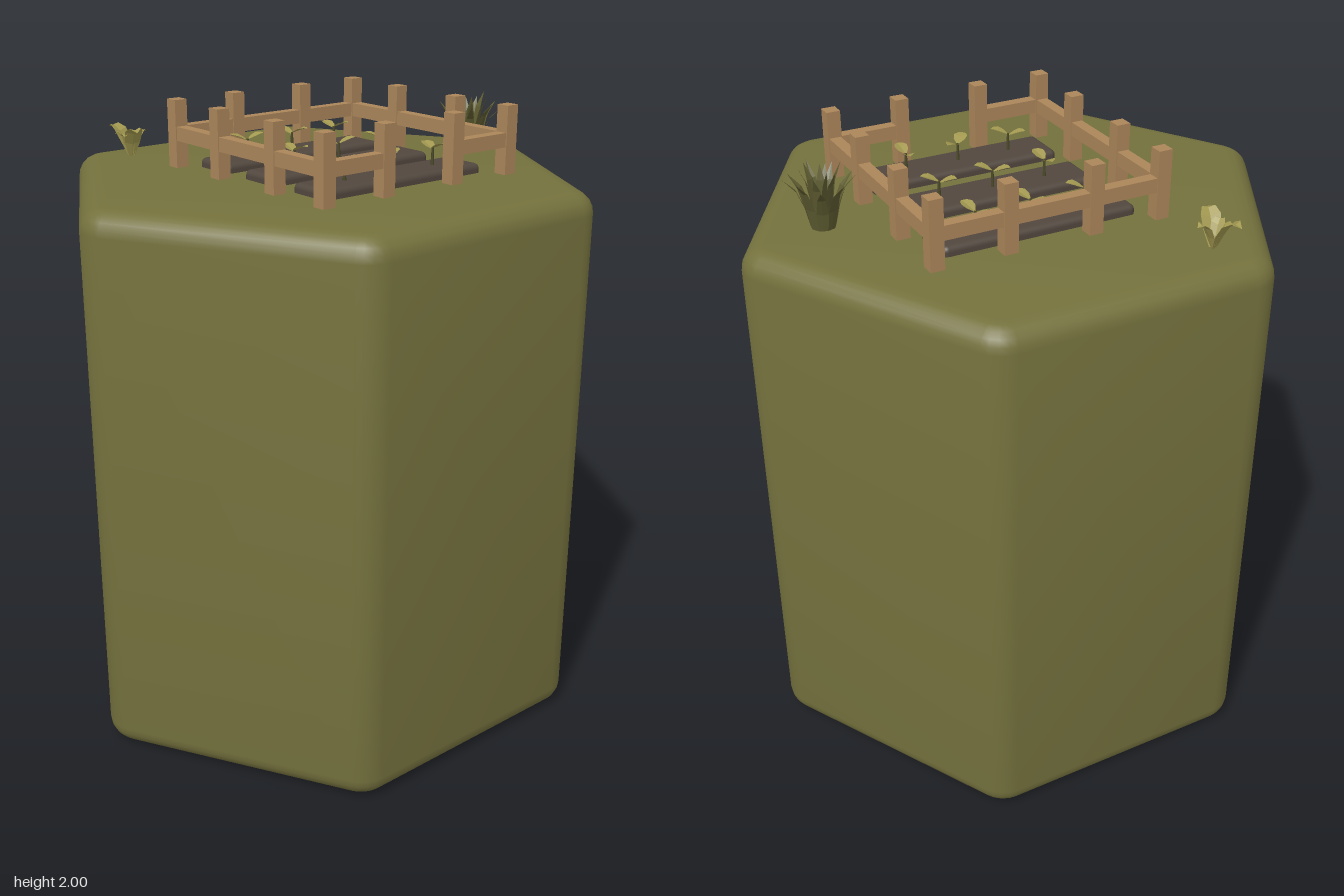
import * as THREE from 'three';
import { toCreasedNormals } from 'three/addons/utils/BufferGeometryUtils.js';
import { RoundedBoxGeometry } from 'three/addons/geometries/RoundedBoxGeometry.js';

const TOP = 1.783;

const material = (name, color, extra = {}) => {
  const m = new THREE.MeshStandardMaterial({ color, ...extra });
  m.name = name;
  return m;
};

// Folded leaf growing along +x; each section is [out, up, half width]
function leafGeometry(sections, fold) {
  const pos = [], index = [];
  sections.forEach(([out, up, w], i) => {
    pos.push(out, up + w * fold, -w, out, up, 0, out, up + w * fold, w);
    if (i === 0) return;
    const b = i * 3, a = b - 3;
    for (let k = 0; k < 2; k++) index.push(a + k, a + k + 1, b + k, a + k + 1, b + k + 1, b + k);
  });
  const g = new THREE.BufferGeometry();
  g.setAttribute('position', new THREE.Float32BufferAttribute(pos, 3));
  g.setIndex(index);
  const flat = g.toNonIndexed();
  flat.computeVertexNormals();
  return flat;
}

// Hexagonal block with rounded corners and rounded rims
function blockGeometry() {
  const bevel = 0.07, r = 0.04, apothem = 0.77 - bevel;
  const d = (apothem - r) / Math.cos(Math.PI / 6), pts = [];
  for (let k = 0; k < 6; k++) {
    const c = Math.PI / 2 + k * Math.PI / 3;
    for (let s = -2; s <= 2; s++) {
      const a = c + s * Math.PI / 12;
      pts.push(new THREE.Vector2(d * Math.cos(c) + r * Math.cos(a), d * Math.sin(c) + r * Math.sin(a)));
    }
  }
  const g = new THREE.ExtrudeGeometry(new THREE.Shape(pts), {
    depth: TOP - 2 * bevel, bevelThickness: bevel, bevelSize: bevel, bevelSegments: 5,
  });
  g.rotateX(-Math.PI / 2).translate(0, bevel, 0);
  return toCreasedNormals(g, 0.6);
}

export function createModel() {
  const grass = material('grass green', 0x74713d);
  const wood = material('fence wood', 0xab855a);
  const soil = material('soil brown', 0x51473e);
  const stemGreen = material('stem green', 0x4b4a28);
  const leafYellow = material('leaf yellow green', 0xa29850, { side: THREE.DoubleSide });
  const bladeGreen = material('blade green', 0x5e5c31, { side: THREE.DoubleSide });

  const model = new THREE.Group();
  model.name = 'gardenTile';
  const group = (name) => {
    const g = new THREE.Group();
    g.name = name;
    model.add(g);
    return g;
  };
  const add = (parent, name, geometry, mat, x = 0, y = 0, z = 0, turn = 0) => {
    const m = new THREE.Mesh(geometry, mat);
    m.name = name;
    m.position.set(x, y, z);
    m.rotation.y = turn;
    parent.add(m);
    return m;
  };

  add(model, 'groundBlock', blockGeometry(), grass);

  // Fence: twelve posts and one rail on each side, open at the gate on +x
  const fence = group('fence');
  const xs = [-0.348, -0.115, 0.165, 0.397], zs = [-0.427, -0.195, 0.085, 0.313];
  const post = new THREE.BoxGeometry(0.045, 0.23, 0.045);
  xs.forEach((x, i) => zs.forEach((z, j) => {
    if (i % 3 === 0 || j % 3 === 0) add(fence, 'fencePost', post, wood, x, 1.885, z);
  }));
  const rail = (x0, z0, x1, z1) => add(fence, 'fenceRail',
    new THREE.BoxGeometry(x1 - x0 + 0.038, 0.045, z1 - z0 + 0.038), wood, (x0 + x1) / 2, 1.893, (z0 + z1) / 2);
  rail(xs[0], zs[0], xs[3], zs[0]);
  rail(xs[0], zs[3], xs[3], zs[3]);
  rail(xs[0], zs[0], xs[0], zs[3]);
  rail(xs[3], zs[0], xs[3], zs[1]);
  rail(xs[3], zs[2], xs[3], zs[3]);

  // Soil beds, each with three two-leaved sprouts
  const garden = group('garden');
  const bed = new RoundedBoxGeometry(0.158, 0.07, 0.64, 3, 0.018);
  const stem = new THREE.CylinderGeometry(0.004, 0.006, 0.06, 6);
  const sproutLeaf = leafGeometry(
    [[0, 0, 0.003], [0.015, 0.006, 0.018], [0.032, 0.013, 0.022], [0.046, 0.017, 0.014], [0.056, 0.018, 0.001]], 0.25);
  const turns = [[20, 30, 70], [65, 65, 10], [5, -45, 65]];
  [-0.225, 0.018, 0.262].forEach((x, i) => {
    add(garden, 'soilBed', bed, soil, x, 1.778, -0.057);
    [-0.238, -0.057, 0.125].forEach((z, j) => {
      const a = THREE.MathUtils.degToRad(turns[i][j]);
      add(garden, 'sproutStem', stem, stemGreen, x, 1.838, z);
      add(garden, 'sproutLeaf', sproutLeaf, leafYellow, x, 1.866, z, a);
      add(garden, 'sproutLeaf', sproutLeaf, leafYellow, x, 1.862, z, a + Math.PI * 0.92);
    });
  });

  // Spiky tuft: rings of narrow blades, the outer ones leaning further
  const tuft = group('spikyTuft');
  tuft.position.set(0.055, TOP - 0.005, -0.6);
  [[9, 0.11, 0.175, 0.035], [6, 0.065, 0.2, 0.02], [3, 0.025, 0.19, 0.005]].forEach(([n, reach, h, base], ring) => {
    for (let k = 0; k < n; k++) {
      const s = 1 - 0.12 * ((k * 2 + ring) % 3) / 2, e = reach - base;
      const blade = leafGeometry([[base, 0, 0.014], [base + e * 0.2, h * s * 0.4, 0.018],
        [base + e * 0.5, h * s * 0.75, 0.012], [reach, h * s, 0.0005]], 0.2);
      add(tuft, 'tuftBlade', blade, bladeGreen, 0, 0, 0, (k + ring * 0.4) * Math.PI * 2 / n);
    }
  });

  // Small broad-leaved plant near the front right corner
  const plant = group('broadLeafPlant');
  plant.position.set(-0.603, TOP - 0.005, 0.335);
  const broadLeaf = leafGeometry([[0.004, 0, 0.01], [0.022, 0.045, 0.026], [0.045, 0.083, 0.03],
    [0.07, 0.1, 0.02], [0.092, 0.094, 0.0005]], 0.3);
  [-18, 90, 198].forEach((deg, i) => {
    const leaf = add(plant, 'broadLeaf', broadLeaf, leafYellow, 0, 0, 0, THREE.MathUtils.degToRad(deg));
    if (i === 1) leaf.scale.set(0.65, 0.85, 0.9);
  });
  [-55, 235].forEach((deg) => {
    const leaf = add(plant, 'innerLeaf', broadLeaf, leafYellow, 0, 0, 0, THREE.MathUtils.degToRad(deg));
    leaf.scale.set(0.6, 0.8, 0.7);
  });

  return model;
}
